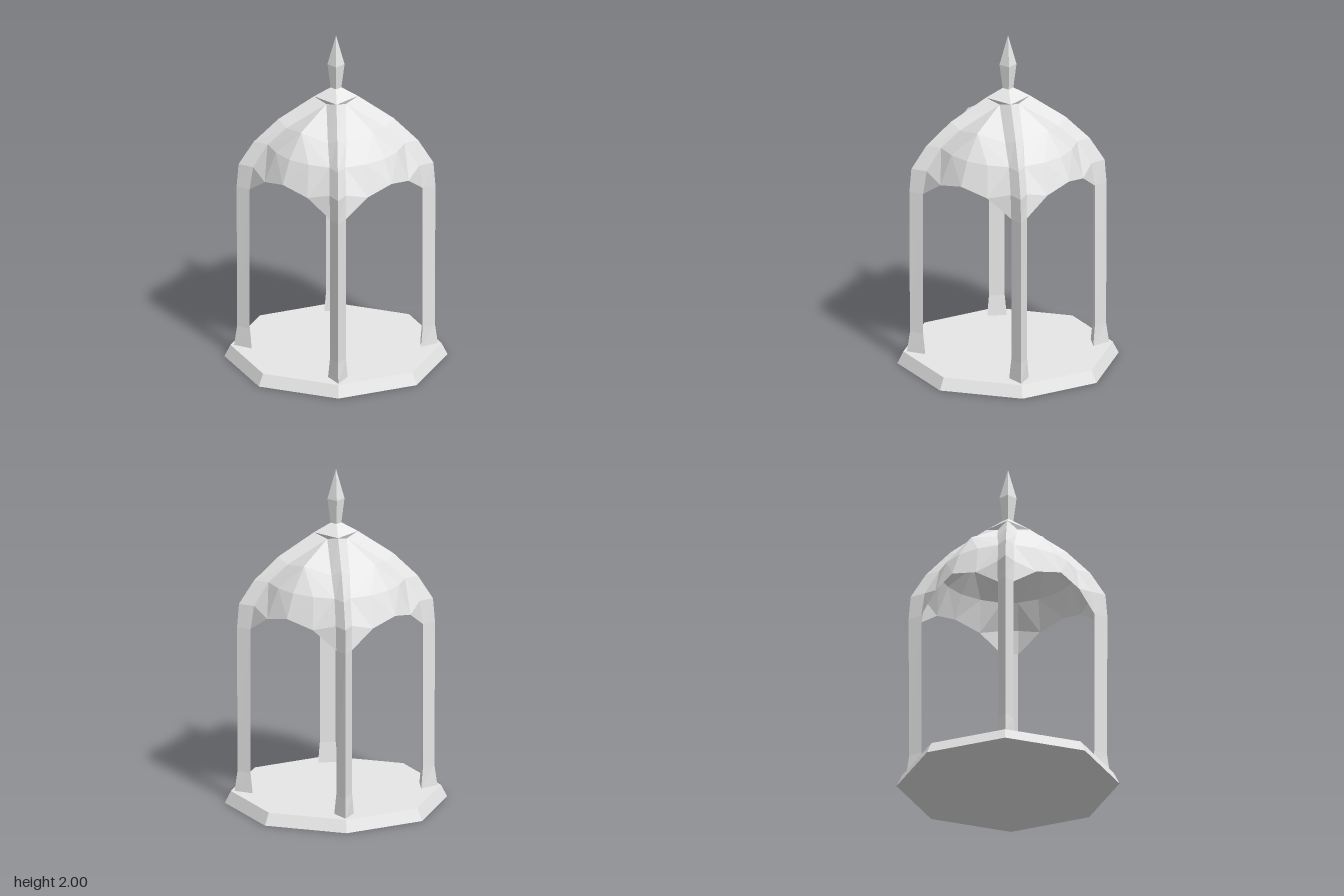
import * as THREE from 'three';

const stone = new THREE.MeshStandardMaterial({ color: 0xe7e7e7, side: THREE.DoubleSide });
stone.name = 'pale stone';

// flat-shaded mesh from triangles given as lists of [x, y, z] corners
function facets(name, triangles) {
  const geometry = new THREE.BufferGeometry();
  geometry.setAttribute('position', new THREE.Float32BufferAttribute(triangles.flat(2), 3));
  geometry.computeVertexNormals();
  const mesh = new THREE.Mesh(geometry, stone);
  mesh.name = name;
  return mesh;
}

// straight-sided frustum standing on y0
function frustum(name, bottom, top, y0, y1, sides, turn = 0) {
  const geometry = new THREE.CylinderGeometry(top, bottom, y1 - y0, sides, 1, false, turn)
    .translate(0, (y0 + y1) / 2, 0).toNonIndexed();
  geometry.computeVertexNormals();
  const mesh = new THREE.Mesh(geometry, stone);
  mesh.name = name;
  return mesh;
}

// square frustum, sizes given as half widths
const square = (name, bottom, top, y0, y1) =>
  frustum(name, bottom * Math.SQRT2, top * Math.SQRT2, y0, y1, 4, Math.PI / 4);

// triangular column that flares at its foot and bends over the dome as a rib
function columnAndRib() {
  // ridge position, ridge height, corner near, corner far, corner height
  const sections = [
    [0.418, 0, 0.305, 0.385, 0],
    [0.415, 0.07, 0.305, 0.385, 0.07],
    [0.403, 0.19, 0.32, 0.385, 0.19],
    [0.405, 1.06, 0.32, 0.385, 1.06],
    [0.397, 1.2, 0.305, 0.372, 1.2],
    [0.335, 1.34, 0.247, 0.312, 1.34],
    [0.235, 1.48, 0.165, 0.24, 1.445],
    [0.09, 1.62, 0, 0.08, 1.595],
  ];
  const rings = sections.map(([d, yd, a, b, yc]) => [[a, yc, b], [d, yd, d], [b, yc, a]]);
  const triangles = [[rings[0][0], rings[0][2], rings[0][1]]];
  for (let s = 0; s < rings.length - 1; s++) {
    for (let i = 0; i < 3; i++) {
      const j = (i + 1) % 3;
      const [low, up] = [rings[s], rings[s + 1]];
      triangles.push([low[i], low[j], up[j]], [low[i], up[j], up[i]]);
    }
  }
  return facets('columnAndRib', triangles);
}

// faceted dome panel with an arched lower edge, right half mirrored to the left
function domePanel() {
  const apex = [0, 1.595, 0.08];
  const highMid = [0, 1.48, 0.29], highRib = [0.165, 1.445, 0.24];
  const mid = [0, 1.34, 0.387], midSide = [0.13, 1.34, 0.365], midRib = [0.247, 1.34, 0.312];
  const archTop = [0, 1.2, 0.443], archSide = [0.17, 1.16, 0.416], archFoot = [0.32, 1.06, 0.385];
  const lowRib = [0.305, 1.2, 0.372];
  const half = [
    [highMid, highRib, apex], [highMid, midRib, highRib],
    [mid, midSide, highMid], [midSide, midRib, highMid],
    [archTop, midSide, mid], [archTop, archSide, midSide],
    [archSide, midRib, midSide], [archSide, lowRib, midRib], [archSide, archFoot, lowRib],
  ];
  const flip = ([x, y, z]) => [-x, y, z];
  const mirrored = half.map(([a, b, c]) => [flip(a), flip(c), flip(b)]);
  return facets('domePanel', [...half, ...mirrored]);
}

export function createModel() {
  const model = new THREE.Group();
  model.name = 'pavilion';

  // octagonal floor
  model.add(frustum('base', 0.643, 0.608, 0, 0.07, 8));

  // four identical sides
  for (let i = 0; i < 4; i++) {
    const side = new THREE.Group();
    side.name = 'side';
    side.rotation.y = i * Math.PI / 2;
    const underside = facets('capUnderside', [[[-0.09, 1.62, 0.09], [0, 1.595, 0.08], [0.09, 1.62, 0.09]]]);
    side.add(columnAndRib(), domePanel(), underside);
    model.add(side);
  }

  // cap and spire
  model.add(
    square('cap', 0.09, 0.02, 1.62, 1.677),
    square('spireNeck', 0.022, 0.035, 1.675, 1.82),
    square('spireTip', 0.035, 0, 1.82, 2),
  );
  return model;
}
